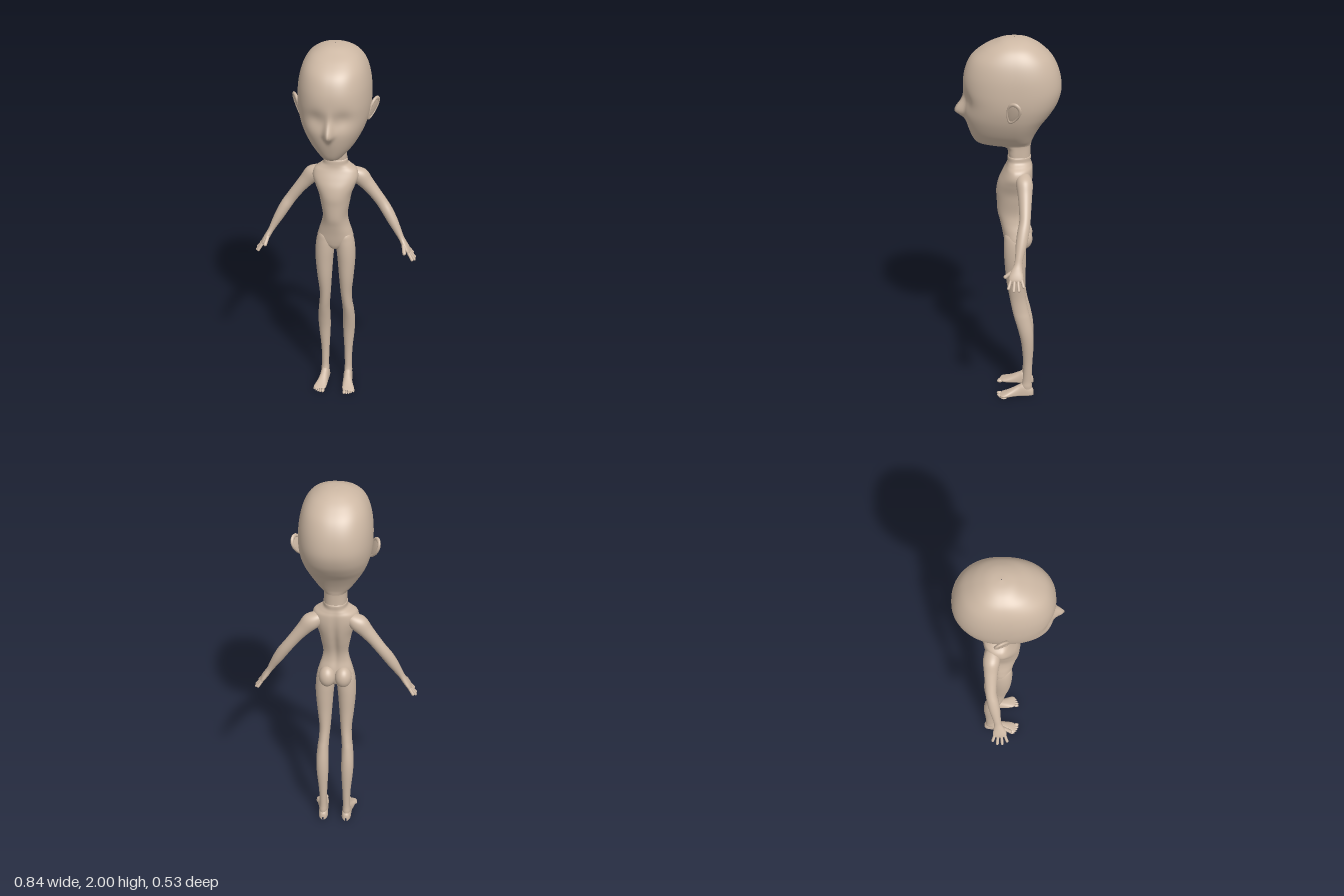
import * as THREE from 'three';

const skin = new THREE.MeshStandardMaterial({ color: 0xcdb8a4 });
skin.name = 'skin';

const X = new THREE.Vector3(1, 0, 0), Y = new THREE.Vector3(0, 1, 0), Z = new THREE.Vector3(0, 0, 1);
const bell = (t, s) => Math.exp(-((t / s) ** 2));

// Smooth loft through rows [x, y, z, half width along U, extent along +V, extent along -V]
function loft(rows, U, V, { seg = 40, sub = 6, power = 1, warp } = {}) {
  const pos = [], index = [], last = rows.length - 1, steps = last * sub;
  const at = (i) => rows[Math.min(last, Math.max(0, i))];
  for (let s = 0; s <= steps; s++) {
    const i = Math.min(last - 1, Math.floor(s / sub)), t = s / sub - i;
    const [x, y, z, a, f, b] = at(i).map((p1, k) => {
      const p0 = at(i - 1)[k], p2 = at(i + 1)[k], p3 = at(i + 2)[k];
      const m1 = (p2 - p0) / 2, m2 = (p3 - p1) / 2;
      const v = p1 + t * m1 + t * t * (3 * (p2 - p1) - 2 * m1 - m2) + t ** 3 * (2 * (p1 - p2) + m1 + m2);
      return k > 2 ? Math.max(v, 0.0008) : v;
    });
    for (let j = 0; j < seg; j++) {
      const ang = (j / seg) * Math.PI * 2, sn = Math.sin(ang), cs = Math.cos(ang);
      const u = Math.sign(sn) * Math.abs(sn) ** power * a;
      const v = Math.sign(cs) * Math.abs(cs) ** power * (cs > 0 ? f : b);
      const p = new THREE.Vector3(x, y, z).addScaledVector(U, u).addScaledVector(V, v);
      if (warp) warp(p);
      pos.push(p.x, p.y, p.z);
    }
  }
  const along = new THREE.Vector3(...rows[last].slice(0, 3)).sub(new THREE.Vector3(...rows[0].slice(0, 3)));
  const flip = along.dot(new THREE.Vector3().crossVectors(U, V)) > 0;
  for (let s = 0; s < steps; s++) for (let j = 0; j < seg; j++) {
    const a = s * seg + j, b = s * seg + (j + 1) % seg, c = a + seg, d = b + seg;
    if (flip) index.push(a, c, b, b, c, d);
    else index.push(a, b, c, b, d, c);
  }
  const g = new THREE.BufferGeometry();
  g.setAttribute('position', new THREE.Float32BufferAttribute(pos, 3));
  g.setIndex(index);
  g.computeVertexNormals();
  return g;
}

// Rows given as [y, half width, front z, back z] around a centre line
const levels = (list, zc) => list.map(([y, a, f, b]) => {
  const c = zc(y);
  return [0, y, c, a, f - c, c - b];
});

// Tapered finger between two points
function finger(p, q, r) {
  const a = new THREE.Vector3(...p), d = new THREE.Vector3(...q).sub(a);
  const g = new THREE.CapsuleGeometry(r, d.length() - r, 6, 12);
  g.applyQuaternion(new THREE.Quaternion().setFromUnitVectors(Y, d.clone().normalize()));
  return g.translate(...a.addScaledVector(d, 0.5).toArray());
}

const ball = (c, r) => new THREE.SphereGeometry(1, 28, 20).scale(...r).translate(...c);

function mirrored(geometry) {
  const g = geometry.clone().scale(-1, 1, 1), ix = g.index.array;
  for (let i = 0; i < ix.length; i += 3) [ix[i], ix[i + 1]] = [ix[i + 1], ix[i]];
  return g;
}

export function createModel() {
  const model = new THREE.Group();
  model.name = 'figure';
  const add = (name, g) => {
    const m = new THREE.Mesh(g, skin);
    m.name = name;
    model.add(m);
  };
  const pair = (name, g) => {
    add('left' + name, g);
    add('right' + name, mirrored(g));
  };

  // Head and neck, with nose ridge and shallow eye sockets
  const head = levels([
    [2.0, 0.002, -0.028, -0.032], [1.995, 0.045, 0.02, -0.08], [1.98, 0.086, 0.06, -0.12],
    [1.95, 0.126, 0.122, -0.167], [1.9, 0.156, 0.182, -0.217], [1.83, 0.174, 0.213, -0.25],
    [1.75, 0.18, 0.221, -0.262], [1.68, 0.176, 0.214, -0.245], [1.62, 0.162, 0.215, -0.21],
    [1.57, 0.142, 0.206, -0.172], [1.52, 0.114, 0.19, -0.142], [1.48, 0.084, 0.172, -0.123],
    [1.46, 0.066, 0.152, -0.117], [1.452, 0.06, 0.115, -0.115], [1.447, 0.058, 0.05, -0.114],
    [1.43, 0.057, 0.008, -0.113], [1.4, 0.057, 0, -0.112], [1.37, 0.057, -0.003, -0.112],
  ], (y) => (y > 1.5 ? -0.03 : -0.045));
  add('head', loft(head, X, Z, {
    seg: 160, power: 0.86,
    warp(p) {
      if (p.z < 0.08) return;
      const g = bell(p.y - 1.625, p.y > 1.625 ? 0.06 : 0.032);
      const socket = bell(Math.abs(p.x) - 0.065, 0.045) * bell(p.y - 1.7, 0.045);
      p.z += 0.05 * g * bell(p.x, 0.013 + 0.008 * g) - 0.014 * socket;
    },
  }));

  // Ears: thin bowl with a raised rim, wider at the top
  const placeEar = (g) => {
    const p = g.attributes.position;
    for (let i = 0; i < p.count; i++) p.setZ(i, p.getZ(i) * (1 + 5 * p.getY(i)));
    g.computeVertexNormals();
    return g.rotateX(-0.3).rotateY(-0.45).rotateZ(-0.25).translate(0.186, 1.675, -0.026);
  };
  pair('Ear', placeEar(new THREE.SphereGeometry(1, 28, 20).scale(0.008, 0.06, 0.032)));
  pair('EarRim', placeEar(new THREE.TorusGeometry(1, 0.2, 10, 40).rotateY(Math.PI / 2).scale(0.04, 0.054, 0.03)));

  // Torso with a soft spine groove
  const torso = levels([
    [1.392, 0.05, -0.008, -0.106], [1.385, 0.06, 0.001, -0.116], [1.362, 0.063, 0.003, -0.116],
    [1.345, 0.083, 0.006, -0.12], [1.325, 0.108, 0.014, -0.125], [1.29, 0.116, 0.032, -0.126],
    [1.25, 0.104, 0.05, -0.123], [1.2, 0.085, 0.06, -0.114], [1.15, 0.075, 0.058, -0.1],
    [1.08, 0.064, 0.054, -0.078], [1.03, 0.07, 0.042, -0.074], [0.98, 0.085, 0.031, -0.085],
    [0.93, 0.094, 0.022, -0.092], [0.9, 0.062, 0.014, -0.085], [0.88, 0.025, 0, -0.07], [0.872, 0.002, -0.03, -0.04],
  ], () => -0.04);
  add('torso', loft(torso, X, Z, {
    seg: 80, power: 0.92,
    warp(p) {
      if (p.z < -0.05) p.z += 0.014 * bell(p.x, 0.018) * bell(p.y - 1.15, 0.16);
    },
  }));
  pair('Buttock', ball([0.041, 0.937, -0.076], [0.044, 0.058, 0.05]));

  // Legs: [y, inner x, outer x, front z, back z]
  const leg = [
    [1.0, 0.05, 0.06, -0.03, -0.04], [0.97, 0.022, 0.082, 0.012, -0.07], [0.93, 0.006, 0.097, 0.02, -0.09],
    [0.87, 0.006, 0.104, 0.021, -0.094], [0.8, 0.012, 0.104, 0.017, -0.093], [0.7, 0.019, 0.096, 0.008, -0.09],
    [0.6, 0.026, 0.086, -0.009, -0.094], [0.53, 0.032, 0.088, -0.022, -0.106], [0.48, 0.035, 0.094, -0.034, -0.118],
    [0.4, 0.034, 0.1, -0.056, -0.133], [0.32, 0.035, 0.097, -0.072, -0.137], [0.2, 0.041, 0.086, -0.082, -0.131],
    [0.1, 0.044, 0.083, -0.08, -0.128], [0.06, 0.042, 0.086, -0.072, -0.13], [0.03, 0.045, 0.083, -0.075, -0.128],
  ].map(([y, i, o, f, b]) => [(i + o) / 2, y, (f + b) / 2, (o - i) / 2, (f - b) / 2, (f - b) / 2]);
  pair('Leg', loft(leg, X, Z));

  // Feet: [x, z, half width, top y]
  const foot = [
    [0.063, -0.139, 0.004, 0.024], [0.063, -0.134, 0.016, 0.042], [0.063, -0.115, 0.024, 0.062],
    [0.064, -0.085, 0.025, 0.076], [0.066, -0.055, 0.025, 0.062], [0.071, -0.02, 0.029, 0.043],
    [0.077, 0.01, 0.033, 0.029], [0.08, 0.03, 0.031, 0.021], [0.081, 0.042, 0.02, 0.016],
  ].map(([x, z, a, top]) => [x, 0.014, z, a, top - 0.014, 0.013]);
  pair('Foot', loft(foot, X, Y, { power: 0.85 }));
  for (let i = 0; i < 5; i++) {
    const r = i ? 0.0068 - i * 0.0004 : 0.0095;
    pair('Toe' + (i + 1), ball([0.059 + i * 0.0118 + (i ? 0.002 : 0), r, 0.046 - i * i * 0.0015], [r, r, 0.015]));
  }

  // Arms: [x, y, z, half thickness, half depth], sliced across the arm
  const across = new THREE.Vector3(0.82, 0.57, 0);
  const arm = [
    [0.06, 1.32, -0.075, 0.004, 0.01], [0.08, 1.305, -0.078, 0.03, 0.032], [0.115, 1.277, -0.082, 0.046, 0.042],
    [0.155, 1.232, -0.085, 0.037, 0.036], [0.195, 1.182, -0.086, 0.031, 0.031], [0.235, 1.127, -0.085, 0.029, 0.028],
    [0.265, 1.082, -0.077, 0.029, 0.03], [0.295, 1.03, -0.068, 0.026, 0.028], [0.325, 0.975, -0.058, 0.019, 0.021],
    [0.342, 0.942, -0.052, 0.015, 0.02], [0.357, 0.915, -0.046, 0.015, 0.028], [0.373, 0.89, -0.043, 0.013, 0.035],
    [0.384, 0.873, -0.043, 0.009, 0.033], [0.389, 0.866, -0.043, 0.002, 0.02],
  ].map(([x, y, z, a, d]) => [x, y, z, a, d, d]);
  pair('Arm', loft(arm, across, Z));

  // Fingers and thumb
  const tips = [[0.405, 0.838, -0.004], [0.416, 0.829, -0.03], [0.416, 0.831, -0.056], [0.403, 0.845, -0.08]];
  tips.forEach((tip, i) => pair('Finger' + (i + 1), finger([0.376, 0.884, -0.02 - i * 0.0155], tip, 0.0075)));
  pair('Thumb', finger([0.353, 0.918, -0.034], [0.364, 0.882, 0.014], 0.0095));

  return model;
}
